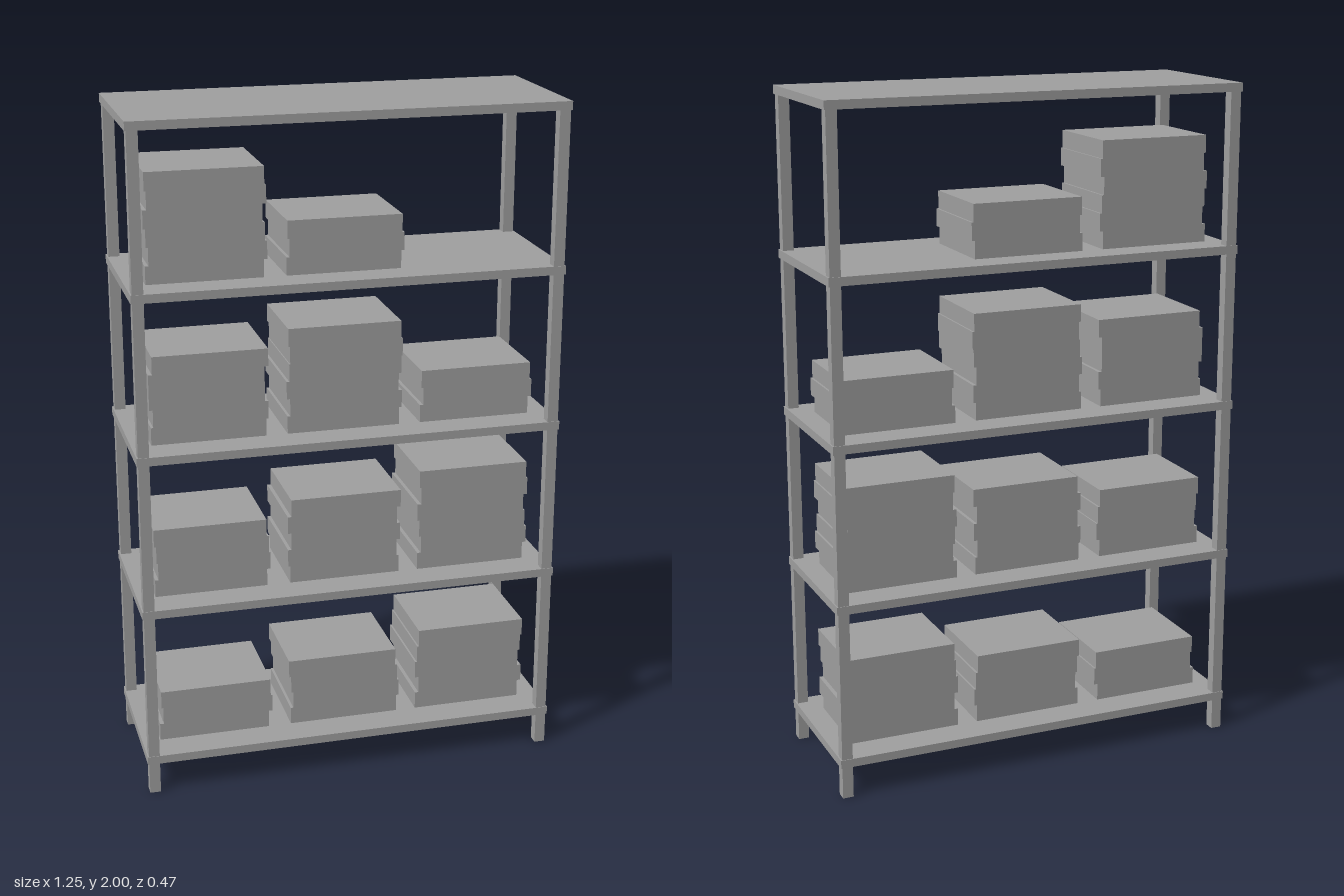
import * as THREE from 'three';

export function createModel() {
  const model = new THREE.Group();
  const grey = new THREE.MeshStandardMaterial({ color: 0xa0a0a0 });
  grey.name = 'grey';

  const addBox = (parent, name, [w, h, d], [x, y, z]) => {
    const mesh = new THREE.Mesh(new THREE.BoxGeometry(w, h, d), grey);
    mesh.name = name;
    mesh.position.set(x, y, z);
    parent.add(mesh);
  };

  // Corner posts
  const post = 0.032, postHeight = 1.985;
  for (const sx of [-1, 1])
    for (const sz of [-1, 1])
      addBox(model, 'post', [post, postHeight, post], [sx * 0.606, postHeight / 2, sz * 0.216]);

  // Shelf boards, given by their top surfaces
  const thickness = 0.025;
  const shelfTops = [0.12, 0.59, 1.06, 1.53, 2.0];
  for (const top of shelfTops)
    addBox(model, 'shelf', [1.252, thickness, 0.468], [0, top - thickness / 2, 0]);

  // Stacks of flat boxes: sideways shift of each box (thousandths), bottom to top,
  // for the right, middle and left columns of every shelf
  const stacks = [
    [[-6, 5, 0], [-2, 6, 0, -6], [-5, 6, -6, 0, 5]],
    [[-6, 4, 0, -6], [0, -6, 4, -6, 5], [-5, 6, 0, -6, 5, 0]],
    [[-3, 4, -6, -6, 5], [-4, 4, -6, 2, 5, 0], [-4, 6, 0]],
    [[-4, 6, 0, -6, 5, 0], [-3, 6, 0]],
  ];
  const pitch = 0.0523;
  stacks.forEach((row, level) => row.forEach((shifts, column) => {
    const stack = new THREE.Group();
    stack.name = 'boxStack';
    stack.position.set((column - 1) * 0.398, shelfTops[level], 0);
    shifts.forEach((shift, i) =>
      addBox(stack, 'flatBox', [0.334, pitch, 0.274], [shift / 1000, (i + 0.5) * pitch, 0]));
    model.add(stack);
  }));

  return model;
}
